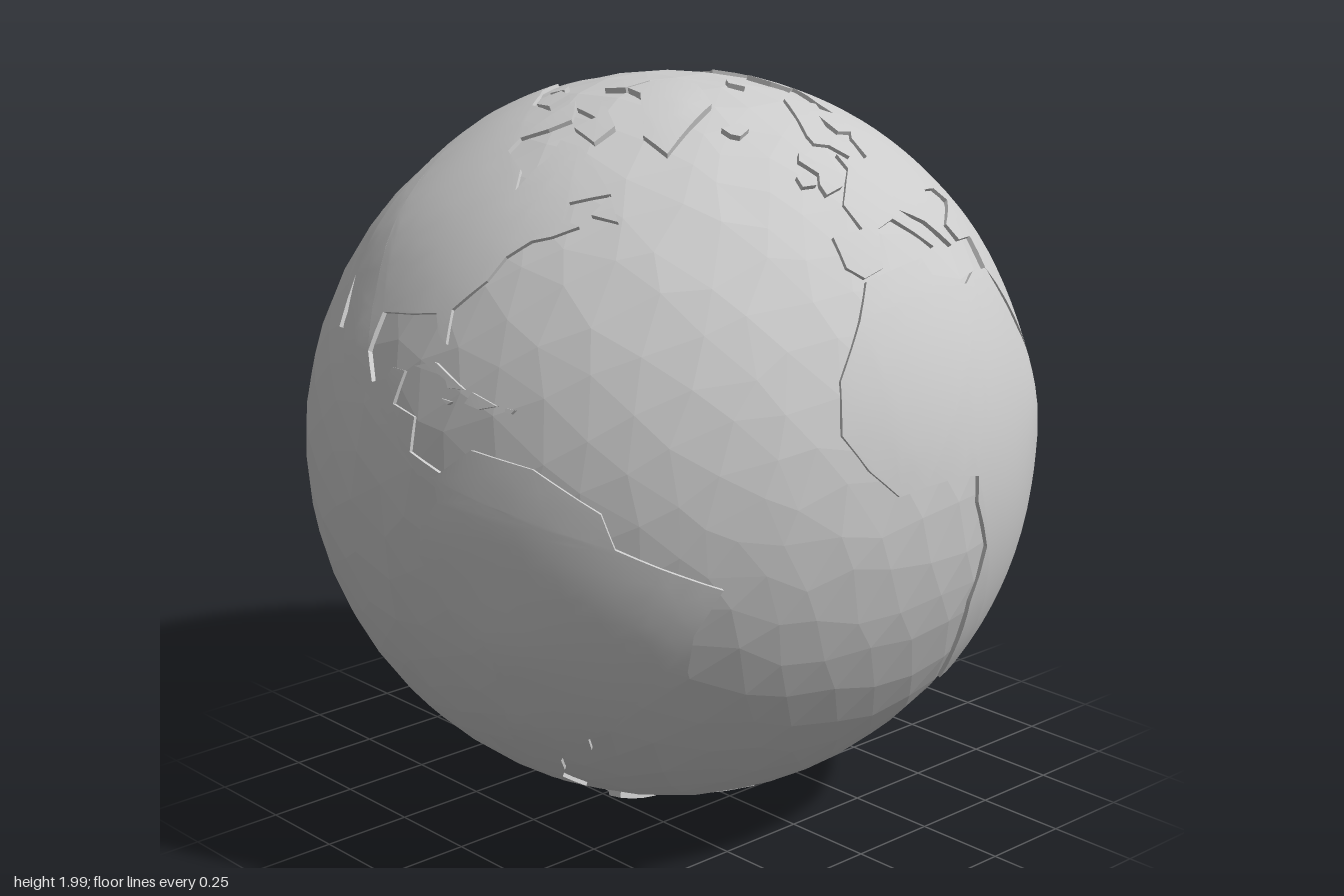
import * as THREE from 'three';
import { mergeVertices } from 'three/addons/utils/BufferGeometryUtils.js';

const SEA = 0.985, SHORE = 0.993, FLOOR = 0.965, MAX_EDGE = 0.08;

// unit direction for a longitude / latitude (lon -90 faces +z)
function dir(lon, lat) {
  const a = lon * Math.PI / 180, b = lat * Math.PI / 180;
  return new THREE.Vector3(Math.cos(b) * Math.cos(a), Math.sin(b), -Math.cos(b) * Math.sin(a));
}

// mountain ranges: lon, lat, spread in degrees, height
const ranges = [
  [90, 41, 10, 0.055], [-111, 40, 7, 0.01], [-68, -18, 5, 0.012], [-71, -33, 4, 0.01],
  [38, 8, 6, 0.01], [-42, 72, 6, 0.01], [-76, 0, 4, 0.008], [-102, 22, 4, 0.008], [60, 32, 7, 0.008],
].map(([lon, lat, spread, h]) => ({ at: dir(lon, lat), s: spread * Math.PI / 180, h }));

function lift(d, base) {
  let r = base;
  for (const m of ranges) r += m.h * Math.exp(-((d.angleTo(m.at) / m.s) ** 2) / 2);
  return d.clone().multiplyScalar(r);
}

function geometryFrom(points) {
  return new THREE.BufferGeometry().setFromPoints(points);
}

const mid = (a, b) => a.clone().add(b).normalize();

// halve the longest side until every side is short
function split(a, b, c, out) {
  const ab = a.distanceTo(b), bc = b.distanceTo(c), ca = c.distanceTo(a);
  const longest = Math.max(ab, bc, ca);
  if (longest < MAX_EDGE) { out.push(a, b, c); return; }
  if (longest === bc) [a, b, c] = [b, c, a];
  else if (longest === ca) [a, b, c] = [c, a, b];
  const m = mid(a, b);
  split(a, m, c, out);
  split(m, b, c, out);
}

function splitEdge(a, b, out) {
  if (a.distanceTo(b) < MAX_EDGE) { out.push([a, b]); return; }
  const m = mid(a, b);
  splitEdge(a, m, out);
  splitEdge(m, b, out);
}

// raised land mass from a lon, lat outline: smooth top and steep coast
function land(name, outline, base = SHORE) {
  let dirs = [];
  for (let i = 0; i < outline.length; i += 2) dirs.push(dir(outline[i], outline[i + 1]));
  const c = dirs.reduce((s, d) => s.add(d), new THREE.Vector3()).normalize();
  const ref = Math.abs(c.y) > 0.9 ? new THREE.Vector3(1, 0, 0) : new THREE.Vector3(0, 1, 0);
  const e = ref.cross(c).normalize();
  const n = c.clone().cross(e);
  // flat map on which great circles are straight lines
  const flatten = d => new THREE.Vector2(d.dot(e), d.dot(n)).divideScalar(d.dot(c));
  if (THREE.ShapeUtils.isClockWise(dirs.map(flatten))) dirs.reverse();

  const top = [];
  for (const [i, j, k] of THREE.ShapeUtils.triangulateShape(dirs.map(flatten), [])) {
    const [p, q, r] = [dirs[i], dirs[j], dirs[k]];
    if (p.clone().cross(q).dot(r) > 0) split(p, q, r, top);
    else split(p, r, q, top);
  }
  const edges = [], wall = [];
  dirs.forEach((d, i) => splitEdge(d, dirs[(i + 1) % dirs.length], edges));
  for (const [a, b] of edges) {
    const aL = a.clone().multiplyScalar(FLOOR), bL = b.clone().multiplyScalar(FLOOR);
    const aH = lift(a, base), bH = lift(b, base);
    wall.push(aL, bL, bH, aL, bH, aH);
  }

  const topGeo = mergeVertices(geometryFrom(top.map(d => lift(d, base))), 1e-5);
  topGeo.computeVertexNormals();
  const wallGeo = geometryFrom(wall);
  wallGeo.computeVertexNormals();
  const material = new THREE.MeshStandardMaterial({ color: 0xcccccc });
  const group = new THREE.Group();
  group.name = name;
  const surface = new THREE.Mesh(topGeo, material), coast = new THREE.Mesh(wallGeo, material);
  surface.name = name + 'Surface';
  coast.name = name + 'Coast';
  group.add(surface, coast);
  return group;
}

// faceted sea with slightly irregular facets
function ocean() {
  const geo = new THREE.IcosahedronGeometry(1, 8);
  const pos = geo.attributes.position, v = new THREE.Vector3();
  for (let i = 0; i < pos.count; i++) {
    v.fromBufferAttribute(pos, i);
    const { x, y, z } = v;
    v.x += 0.022 * Math.sin(37 * y + 23 * z);
    v.y += 0.022 * Math.sin(41 * z + 29 * x);
    v.z += 0.022 * Math.sin(31 * x + 43 * y);
    v.setLength(SEA);
    pos.setXYZ(i, v.x, v.y, v.z);
  }
  geo.computeVertexNormals();
  const mesh = new THREE.Mesh(geo, new THREE.MeshStandardMaterial({ color: 0xcccccc, flatShading: true }));
  mesh.name = 'ocean';
  return mesh;
}

export function createModel() {
  const globe = new THREE.Group();
  globe.name = 'globe';
  globe.add(ocean());

  // continents
  globe.add(
    land('northAmerica', [-166, 68, -156, 71, -141, 70, -128, 70, -115, 68, -95, 68, -94, 72, -85, 69, -82, 67, -87, 64,
      -94, 61, -93, 58, -83, 55, -80, 51, -79, 55, -77, 58, -78, 62, -70, 61, -65, 59, -61, 56, -56, 52, -65, 50, -65, 47,
      -61, 46, -66, 44, -70, 43, -74, 40, -76, 36, -81, 31, -80, 26, -82, 27, -84, 30, -90, 29, -97, 28, -97, 22, -94, 18,
      -91, 19, -90, 21, -87, 21, -88, 16, -83, 15, -83, 10, -80, 9, -77, 8, -78, 7, -81, 7, -85, 10, -88, 13, -94, 16,
      -102, 18, -106, 22, -109, 26, -113, 31, -110, 23, -115, 29, -117, 33, -121, 35, -124, 40, -124, 48, -130, 54,
      -136, 59, -146, 61, -152, 59, -162, 55, -158, 58, -164, 62]),
    land('southAmerica', [-77, 8, -72, 12, -62, 10.5, -52, 5, -50, 0, -44, -2.5, -35, -6, -39, -13, -40, -21, -48, -26,
      -53, -33, -57, -35, -57, -38, -62, -39, -65, -43, -66, -47, -69, -51, -65, -55, -71, -54, -75, -50, -73, -42,
      -73, -37, -71, -30, -70, -18, -76, -14, -81, -5, -80, 0, -77, 4, -78, 7]),
    land('africa', [-6, 35.5, 10, 37, 11, 33, 20, 31, 25, 32, 33, 31, 34, 27, 37, 20, 43, 12, 51, 12, 48, 5, 41, -3,
      39, -8, 40, -15, 35, -20, 35, -24, 32, -28, 26, -34, 19, -34.5, 15, -27, 12, -17, 13, -8, 9, 0, 9, 4, 5, 5, -3, 5,
      -8, 4.5, -13, 9, -17, 14.5, -16, 22, -10, 30]),
    land('europe', [-9, 38, -9, 43, -1, 43.5, -2, 48, 4, 52, 8, 54, 9, 57, 11, 54, 20, 55, 24, 59, 29, 60, 22, 61, 25, 65,
      18, 62, 17, 57, 13, 56, 10, 59, 5, 60, 6, 62, 14, 67, 25, 71, 40, 67, 34, 66, 38, 64, 44, 67, 60, 69, 60, 52, 50, 45,
      41, 42, 38, 45, 31, 46, 28, 42, 24, 40, 23, 37, 19, 42, 13, 45, 18, 40, 16, 38, 9, 44, 3, 43, -1, 37, -6, 36]),
    land('asia', [60, 69, 68, 69, 73, 72, 80, 73, 104, 77.5, 113, 74, 130, 71, 160, 70, 180, 69, 190, 66, 178, 63, 170, 60,
      163, 59, 162, 56, 157, 51, 156, 57, 163, 62, 155, 59, 142, 59, 136, 54, 140, 50, 135, 44, 128, 40, 129, 36, 126, 35,
      125, 39, 118, 39, 122, 37, 119, 35, 122, 30, 117, 23, 108, 21, 109, 13, 105, 9, 101, 13, 104, 2, 100, 7, 98, 16,
      94, 17, 91, 22, 87, 21, 80, 15, 78, 8, 73, 18, 70, 22, 66, 25, 57, 26, 50, 30, 51, 25, 56, 25, 59, 22, 53, 16,
      44, 13, 39, 21, 35, 28, 33, 31, 36, 36, 28, 37, 27, 40, 41, 42, 50, 45, 60, 52]),
    land('australia', [114, -22, 114, -34, 118, -35, 124, -33, 131, -31.5, 138, -35, 141, -38, 147, -38, 150, -37,
      153, -30, 153, -25, 146, -19, 142.5, -11, 141, -17, 136, -15, 137, -12, 131, -12, 126, -14, 122, -18]),
    land('antarctica', [-60, -64, -45, -78, -25, -75, 0, -70, 30, -69, 55, -66, 70, -70, 90, -66, 115, -66, 135, -66,
      160, -70, 168, -78, -160, -78, -145, -75, -110, -74, -75, -72, -67, -67], 0.998),
  );

  // islands
  const islands = {
    greenland: [-73, 78, -60, 82, -33, 83.5, -18, 80, -22, 72, -32, 68, -43, 60, -51, 64, -54, 70, -60, 76],
    ellesmereIsland: [-90, 77, -92, 81, -70, 83, -63, 82, -75, 78],
    baffinIsland: [-88, 73, -78, 73, -62, 66, -66, 62, -77, 65, -72, 68, -86, 70],
    victoriaIsland: [-117, 70, -117, 73, -105, 73, -102, 69, -112, 68.5],
    banksIsland: [-125, 72, -122, 74.5, -117, 73.5, -121, 71.5],
    newfoundland: [-59, 48, -56, 51.5, -53, 47],
    iceland: [-24, 65.5, -16, 66.5, -14, 65, -19, 63.4, -22, 64],
    britain: [-5, 50, 1, 51, 1, 53, -2, 57.5, -4, 58.5, -6, 57, -3, 54, -5, 52],
    ireland: [-10, 52, -6, 52, -6, 55, -10, 54],
    svalbard: [12, 79, 20, 80.3, 26, 80, 17, 76.7],
    novayaZemlya: [52, 71, 56, 74, 68, 77, 62, 75.5, 57, 71],
    cuba: [-85, 22, -81, 23.2, -74.5, 20.2, -77.5, 20, -78.5, 21.5],
    hispaniola: [-74, 18.3, -73, 20, -68.5, 18.6, -71.5, 17.8],
    jamaica: [-78.3, 18.4, -76.3, 18.2, -77, 17.7],
    puertoRico: [-67, 18.5, -65.5, 18.4, -66, 17.8, -67, 17.9],
    madagascar: [49, -12, 50.5, -16, 47, -25, 44, -24, 44, -17],
    sriLanka: [80, 9.7, 82, 7, 80.3, 6],
    honshu: [130, 31, 132, 34, 136, 36, 139.5, 38, 141, 41.5, 142, 39, 140.5, 35.5, 136, 33.5, 132, 32.5],
    hokkaido: [140, 42, 142, 45.5, 145, 43.5, 143, 42],
    sakhalin: [142, 46, 142, 54, 144, 50, 143, 46.5],
    taiwan: [120, 23, 121.5, 25.2, 121, 22],
    luzon: [120, 16, 121, 18.5, 122.3, 18, 121.7, 15, 124, 12.7, 120.5, 14],
    mindanao: [122, 7, 125, 9.7, 126.5, 7, 125.3, 5.6],
    borneo: [109, 1, 113, 3, 117, 7, 119, 5, 117.5, 1, 116, -4, 110.5, -3],
    sumatra: [95, 5.5, 98, 4.5, 103.5, 0, 106, -3, 105, -6, 101, -3],
    java: [105, -6.5, 110, -6.3, 114.5, -7.6, 114, -8.7, 108, -7.8],
    sulawesi: [119.5, -5.5, 119.5, 0, 121, 1.4, 125, 1.5, 121, 0.2, 123, -1, 121.5, -2, 122.5, -5, 121, -3],
    newGuinea: [131, -1, 134, -1, 135, -3, 138, -1.6, 144, -4, 150.5, -10.5, 146, -8.5, 143, -9, 138, -8.3, 138, -6, 133, -4],
    tasmania: [145, -41, 148, -41, 147, -43.5],
    northIsland: [173, -35, 175.5, -37, 178.3, -38, 175.5, -41.5, 174, -39.3],
    southIsland: [172.5, -40.7, 174, -41.5, 171, -45.5, 168.5, -46.6, 166.5, -45.8],
  };
  for (const [name, outline] of Object.entries(islands)) globe.add(land(name, outline, 0.996));

  globe.position.y = 0.998;
  const model = new THREE.Group();
  model.add(globe);
  return model;
}
